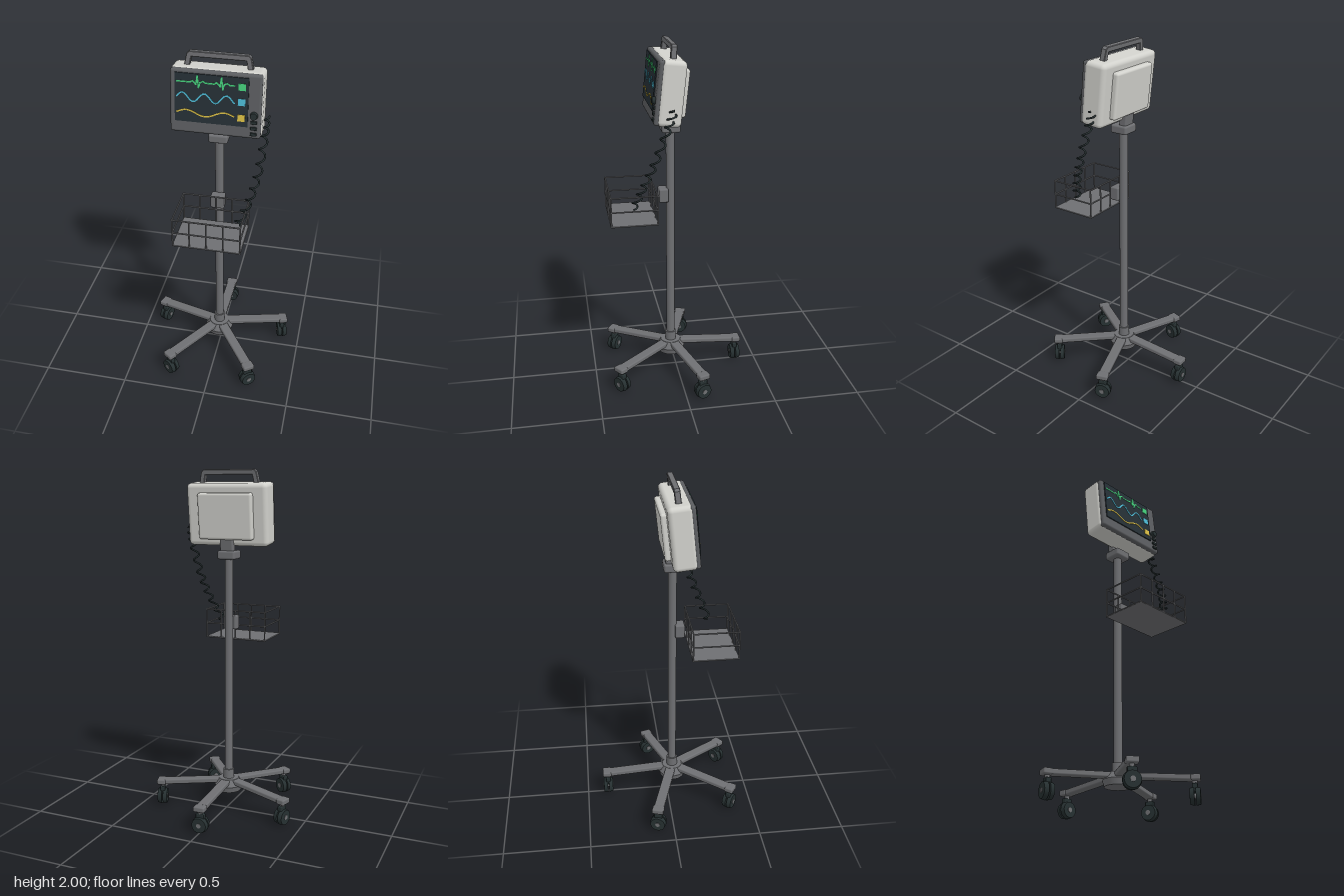
import * as THREE from 'three';
import { RoundedBoxGeometry } from 'three/addons/geometries/RoundedBoxGeometry.js';
import { mergeGeometries } from 'three/addons/utils/BufferGeometryUtils.js';

const mat = (name, color) => Object.assign(new THREE.MeshStandardMaterial({ color }), { name });

export function createModel() {
  const M = {
    metal: mat('grey metal', 0x6e6f72),
    shell: mat('pale shell', 0xd2d2cd),
    bezel: mat('dark bezel', 0x5c5e61),
    screen: mat('screen glass', 0x263036),
    rubber: mat('dark rubber', 0x263031),
    green: mat('trace green', 0x45d07c),
    cyan: mat('trace cyan', 0x4dbbd6),
    yellow: mat('trace yellow', 0xdcc046),
  };
  const root = new THREE.Group();
  const POLE_Z = 0.033;

  const add = (parent, name, geo, material, x = 0, y = 0, z = 0) => {
    const m = new THREE.Mesh(geo, material);
    m.name = name;
    m.position.set(x, y, z);
    parent.add(m);
    return m;
  };
  const group = (parent, name, x, y, z) => {
    const g = new THREE.Group();
    g.name = name;
    g.position.set(x, y, z);
    parent.add(g);
    return g;
  };
  const box = (w, h, d, r = 0.006, s = 2) => new RoundedBoxGeometry(w, h, d, s, r);
  const cyl = (rt, rb, h, n = 32) => new THREE.CylinderGeometry(rt, rb, h, n);

  // Rolling base: hub, five sloping arms and twin-wheel casters
  const base = group(root, 'rollingBase', 0, 0, POLE_Z);
  add(base, 'hub', cyl(0.085, 0.075, 0.035), M.metal, 0, 0.128);
  add(base, 'hubTop', cyl(0.06, 0.085, 0.04), M.metal, 0, 0.165);
  add(base, 'poleCollar', cyl(0.032, 0.032, 0.06), M.metal, 0, 0.21);
  for (let i = 0; i < 5; i++) {
    const leg = group(base, 'leg', 0, 0, 0);
    leg.rotation.y = (i * Math.PI * 2) / 5;
    const arm = add(leg, 'arm', box(0.058, 0.03, 0.38, 0.008), M.metal, 0, 0.156, -0.235);
    arm.rotation.x = -0.07;
    add(leg, 'armEnd', box(0.068, 0.032, 0.052, 0.008), M.metal, 0, 0.145, -0.411);
    add(leg, 'casterStem', cyl(0.014, 0.014, 0.05, 16), M.metal, 0, 0.11, -0.405);
    add(leg, 'casterFork', box(0.05, 0.05, 0.03), M.rubber, 0, 0.09, -0.405);
    for (const s of [-1, 1]) {
      const wheel = add(leg, 'wheel', cyl(0.043, 0.048, 0.024, 24), M.rubber, 0, 0.049, -0.405 + s * 0.016);
      wheel.rotation.x = s * Math.PI / 2;
    }
    const axle = add(leg, 'axle', cyl(0.014, 0.014, 0.062, 16), M.metal, 0, 0.049, -0.405);
    axle.rotation.x = Math.PI / 2;
  }

  // Pole and monitor mount
  add(root, 'pole', cyl(0.024, 0.024, 1.32), M.metal, 0, 0.87, POLE_Z);
  add(root, 'mountBlock', box(0.106, 0.05, 0.105, 0.012), M.metal, 0, 1.527, POLE_Z);
  const neck = add(root, 'mountNeck', box(0.078, 0.09, 0.045, 0.008), M.metal, 0, 1.58, 0.012);
  neck.rotation.x = -0.105;

  // Monitor, leaning back slightly
  const mon = group(root, 'monitor', 0, 1.757, 0.06);
  mon.rotation.x = -0.105;
  add(mon, 'housing', box(0.486, 0.35, 0.135, 0.026, 4), M.shell);
  add(mon, 'backCover', box(0.326, 0.26, 0.05, 0.014, 3), M.shell, 0, -0.005, -0.075);
  add(mon, 'frontBezel', box(0.476, 0.342, 0.036, 0.014, 3), M.bezel, 0, 0, 0.062);
  add(mon, 'screen', new THREE.BoxGeometry(0.382, 0.26, 0.008), M.screen, -0.02, 0.024, 0.082);

  // Carry handle
  const bar = new THREE.Shape([[-0.178, 0.165], [-0.164, 0.232], [-0.152, 0.243], [0.152, 0.243], [0.164, 0.232],
    [0.178, 0.165], [0.155, 0.165], [0.144, 0.22], [-0.144, 0.22], [-0.155, 0.165]]
    .map(([x, y]) => new THREE.Vector2(x, y)));
  add(mon, 'carryHandle', new THREE.ExtrudeGeometry(bar, {
    depth: 0.026, bevelSize: 0.003, bevelThickness: 0.003, bevelSegments: 1,
  }), M.metal, 0, 0, -0.013);

  // Screen traces, each a chain of thin strips
  const trace = (name, pts, material, y) => {
    const strips = pts.slice(1).map(([x, v], i) => {
      const [px, pv] = pts[i];
      const g = new THREE.BoxGeometry(Math.hypot(x - px, v - pv) + 0.004, 0.0075, 0.003);
      g.rotateZ(Math.atan2(v - pv, x - px));
      return g.translate((x + px) / 2, (v + pv) / 2, 0);
    });
    add(mon, name, mergeGeometries(strips), material, 0, y, 0.087);
    add(mon, name + 'Readout', new THREE.BoxGeometry(0.038, 0.036, 0.004), material, 0.137, y - 0.004, 0.087);
  };
  const wave = (f) => Array.from({ length: 41 }, (_, i) => [-0.2 + i * 0.0075, f(i / 40)]);
  const beat = [[-0.13, 0], [-0.118, 0.008], [-0.108, 0], [-0.1, -0.012], [-0.093, 0.036],
    [-0.086, -0.027], [-0.079, 0], [-0.064, 0.009], [-0.05, 0]];
  trace('pulseTrace', [[-0.2, 0], ...beat, ...beat.map(([x, v]) => [x + 0.125, v]), [0.1, 0]], M.green, 0.11);
  trace('flowTrace', wave((t) => 0.023 * Math.sin(t * Math.PI * 5.2)), M.cyan, 0.03);
  trace('breathTrace', wave((t) => 0.015 * Math.sin(t * Math.PI * 3)), M.yellow, -0.055);

  // Knob and buttons beside the screen
  const knob = add(mon, 'knob', cyl(0.018, 0.021, 0.02, 24), M.rubber, 0.202, -0.042, 0.088);
  knob.rotation.x = Math.PI / 2;
  for (let i = 0; i < 3; i++) {
    add(mon, 'button', box(0.034, 0.018, 0.012, 0.004), M.rubber, 0.202, -0.08 - i * 0.032, 0.082);
  }

  // Wire basket with a solid floor
  const basket = group(root, 'basket', 0, 0, 0.26);
  const W = 0.185, D = 0.13, Y0 = 1.02, Y1 = 1.188;
  const wire = (a, b) => {
    const p = new THREE.Vector3(...a), q = new THREE.Vector3(...b);
    const m = add(basket, 'wire', cyl(0.0045, 0.0045, p.distanceTo(q) + 0.006, 8), M.metal);
    m.position.copy(p).lerp(q, 0.5);
    m.quaternion.setFromUnitVectors(new THREE.Vector3(0, 1, 0), q.sub(p).normalize());
  };
  add(basket, 'basketFloor', new THREE.BoxGeometry(2 * W, 0.008, 2 * D), M.metal, 0, Y0, 0);
  for (const y of [Y0, 1.105, Y1]) {
    for (const s of [-1, 1]) {
      wire([-W, y, s * D], [W, y, s * D]);
      wire([s * W, y, -D], [s * W, y, D]);
    }
  }
  for (let i = 0; i < 5; i++) {
    const x = -W + (i * W) / 2;
    for (const s of [-1, 1]) wire([x, Y0, s * D], [x, Y1, s * D]);
  }
  add(root, 'basketClamp', box(0.078, 0.08, 0.055, 0.008), M.metal, 0, 1.132, 0.074);

  // Coiled cable hanging from the monitor's side into the basket
  const spine = new THREE.CatmullRomCurve3([[0.25, 1.68, 0.05], [0.25, 1.58, 0.085], [0.235, 1.4, 0.15],
    [0.2, 1.25, 0.21], [0.14, 1.105, 0.265]].map((p) => new THREE.Vector3(...p)));
  const coil = Array.from({ length: 121 }, (_, i) => {
    const t = i / 120, a = t * Math.PI * 2 * 10;
    return spine.getPoint(t).add(new THREE.Vector3(0.02 * Math.cos(a), 0, 0.02 * Math.sin(a)));
  });
  add(root, 'coiledCable', new THREE.TubeGeometry(new THREE.CatmullRomCurve3(coil), 320, 0.0055, 6), M.rubber);

  return root;
}
